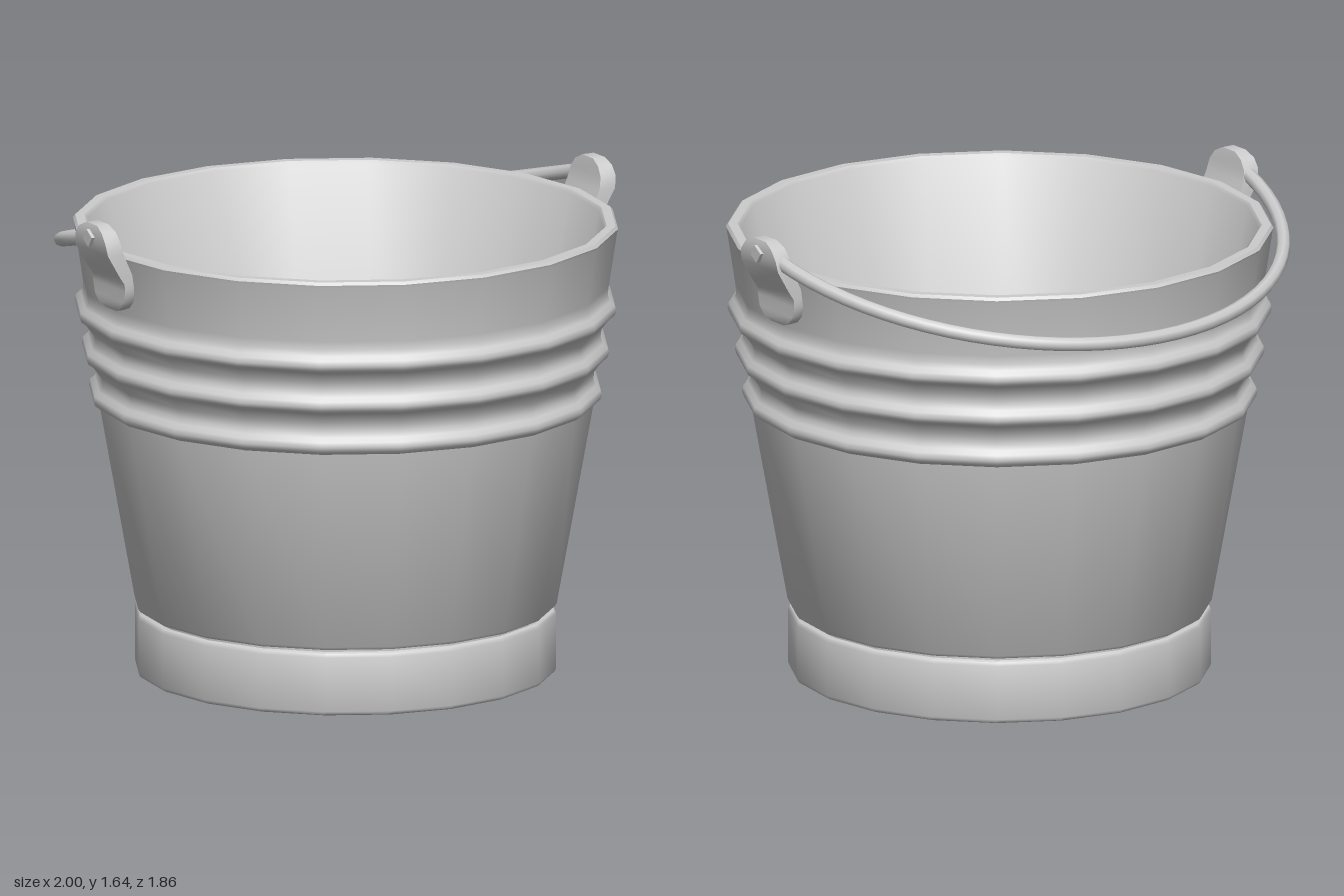
import * as THREE from 'three';
import { toCreasedNormals } from 'three/addons/utils/BufferGeometryUtils.js';

const SIDES = 20;
const CENTER_Z = 0.012;
const material = new THREE.MeshStandardMaterial({ color: 0xcccccc });

function part(name, geometry, crease = 0.75) {
  const mesh = new THREE.Mesh(toCreasedNormals(geometry, crease), material);
  mesh.name = name;
  return mesh;
}

function lathe(profile) {
  return new THREE.LatheGeometry(profile.map(([r, y]) => new THREE.Vector2(r, y)), SIDES);
}

// Bent strap with rounded ends: rows of [y, half width, inner x, outer x]
function strapGeometry(rows) {
  const positions = [];
  const index = [];
  for (const [y, w, xi, xo] of rows) {
    positions.push(xo, y, w, xo, y, -w, xi, y, -w, xi, y, w);
  }
  for (let i = 0; i < rows.length - 1; i++) {
    for (let k = 0; k < 4; k++) {
      const a = i * 4 + k;
      const b = i * 4 + (k + 1) % 4;
      index.push(a, b, b + 4, a, b + 4, a + 4);
    }
  }
  const t = (rows.length - 1) * 4;
  index.push(0, 2, 1, 0, 3, 2, t, t + 1, t + 2, t, t + 2, t + 3);
  const geometry = new THREE.BufferGeometry();
  geometry.setAttribute('position', new THREE.Float32BufferAttribute(positions, 3));
  geometry.setIndex(index);
  return geometry;
}

function createEar() {
  const ear = new THREE.Group();
  ear.add(part('earStrap', strapGeometry([
    [1.34, 0.035, 0.87, 0.908],
    [1.353, 0.068, 0.87, 0.914],
    [1.38, 0.094, 0.87, 0.915],
    [1.42, 0.105, 0.875, 0.915],
    [1.445, 0.106, 0.88, 0.918],
    [1.475, 0.106, 0.888, 0.938],
    [1.55, 0.106, 0.922, 0.982],
    [1.59, 0.099, 0.93, 0.988],
    [1.622, 0.075, 0.934, 0.988],
    [1.641, 0.035, 0.938, 0.982],
  ]), 0.6));

  // Square bolt head through the top of the ear
  const bolt = part('earBolt', new THREE.CylinderGeometry(0.03, 0.03, 0.06, 4).rotateY(0.2).rotateZ(-Math.PI / 2), 0.4);
  bolt.position.set(0.97, 1.594, 0);
  ear.add(bolt);
  return ear;
}

export function createModel() {
  const model = new THREE.Group();
  model.name = 'bucket';
  const body = new THREE.Group();
  body.position.z = CENTER_Z;
  model.add(body);

  // Outer wall with three rolled ridges, rim, inner wall and floor
  const profile = [[0.66, 0.19], [0.66, 0.226], [0.7, 0.226], [0.708, 0.236], [0.833, 0.93]];
  for (const [y, r] of [[0.96, 0.86], [1.105, 0.884], [1.25, 0.908]]) {
    profile.push(
      [r - 0.022, y - 0.032], [r - 0.005, y - 0.02], [r, y - 0.005], [r - 0.004, y + 0.012],
      [r - 0.02, y + 0.026], [r - 0.029, y + 0.045], [r - 0.026, y + 0.075],
    );
  }
  profile.push([0.911, 1.515], [0.914, 1.525], [0.906, 1.535], [0.875, 1.535], [0.865, 1.525], [0.652, 0.2], [0, 0.2]);
  body.add(part('pail', lathe(profile)));

  // Foot band closed underneath
  body.add(part('footBand', lathe([
    [0, 0], [0.692, 0], [0.702, 0.005], [0.706, 0.015], [0.706, 0.2], [0.701, 0.212], [0.69, 0.217], [0.655, 0.2],
  ])));

  // Handle ears on both sides
  for (const [name, turn] of [['leftEar', 0], ['rightEar', Math.PI]]) {
    const ear = createEar();
    ear.name = name;
    ear.rotation.y = turn;
    body.add(ear);
  }

  // Bail handle resting back against the rim
  const points = [];
  for (let i = 0; i <= 24; i++) {
    const a = (i / 24) * Math.PI;
    const reach = Math.sin(a);
    points.push(new THREE.Vector3(0.957 * Math.cos(a), 1.594 - 0.238 * reach, -0.01 - 0.908 * reach));
  }
  const path = new THREE.CatmullRomCurve3(points);
  body.add(part('handle', new THREE.TubeGeometry(path, 40, 0.024, 8), 1));

  return model;
}
